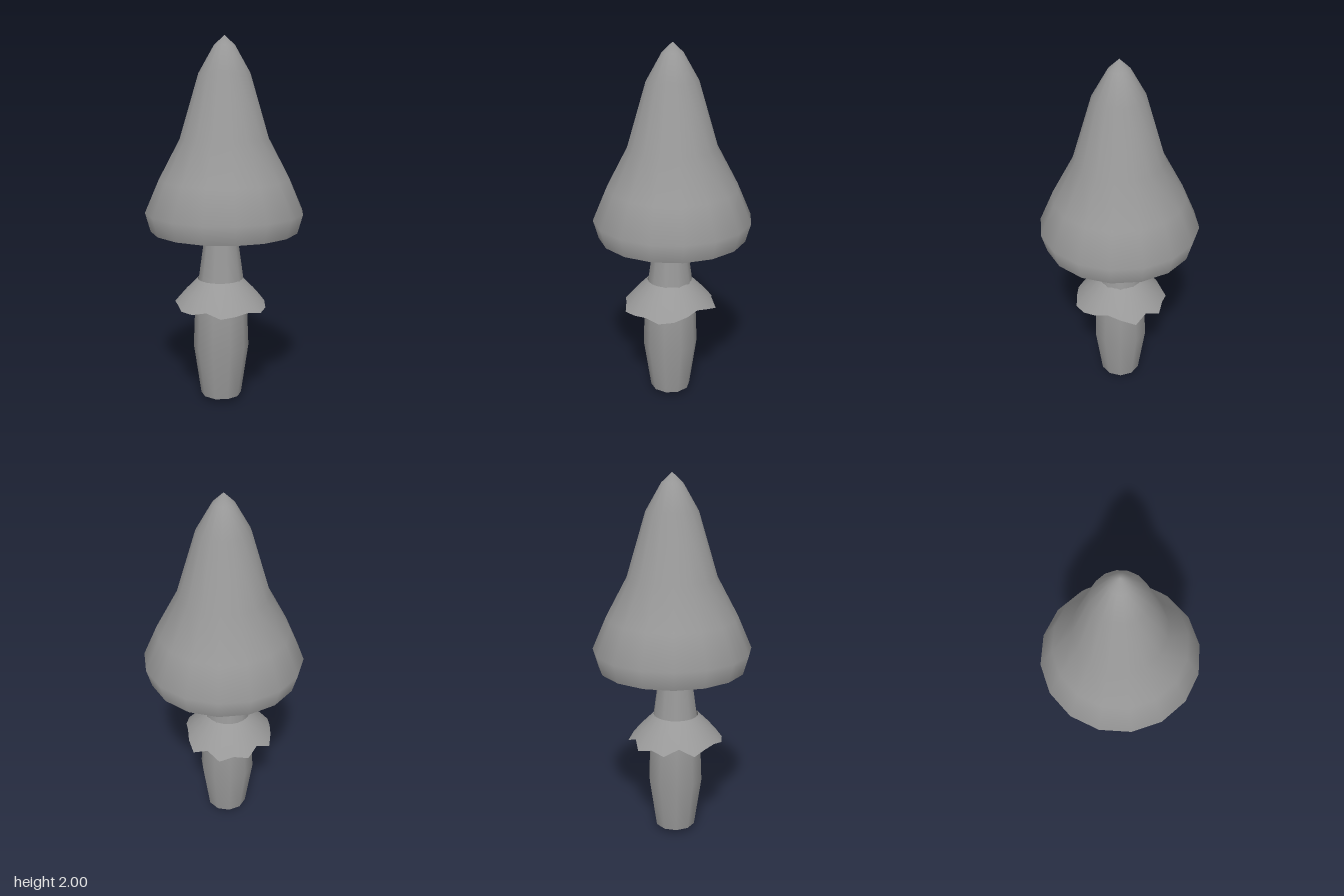
import * as THREE from 'three';

const material = new THREE.MeshStandardMaterial({ color: 0x999999 });
const thin = new THREE.MeshStandardMaterial({ color: 0x999999, side: THREE.DoubleSide });

// Surface of revolution from [radius, y] pairs, listed bottom to top
function lathe(name, profile, sides, phase = 0, mat = material) {
  const points = profile.map(([r, y]) => new THREE.Vector2(r, y));
  const mesh = new THREE.Mesh(new THREE.LatheGeometry(points, sides, phase), mat);
  mesh.name = name;
  return mesh;
}

// Tall bell-shaped cap, its normals meeting smoothly at the tip
function createCap(phase) {
  const profile = [
    [0.401, 0.967], [0.43, 1.07], [0.354, 1.247], [0.24, 1.462],
    [0.138, 1.805], [0.056, 1.948], [0, 2],
  ];
  const cap = lathe('cap', profile, 16, phase);
  const normal = cap.geometry.attributes.normal;
  for (let i = profile.length - 1; i < normal.count; i += profile.length) normal.setXYZ(i, 0, 1, 0);
  return cap;
}

// Flared ring with an irregular, toothed hem
function createSkirt() {
  const sides = 20;
  const skirt = lathe('skirt', [[0.265, 0.543], [0.195, 0.625], [0.124, 0.697]], sides, 0, thin);
  const pull = [0.1, 0.2, 0, 0.1, 0.3, 0.5, 0.3, 0, 0.4, 0, 0.25, 0.05, 0.45, 0, 0.25, 0.3, 0.1, 0.1, 0.3, 0];
  const pos = skirt.geometry.attributes.position;
  for (let i = 0; i <= sides; i++) {
    const hem = i * 3;
    const p = new THREE.Vector3().fromBufferAttribute(pos, hem);
    p.lerp(new THREE.Vector3().fromBufferAttribute(pos, hem + 1), pull[i % sides]);
    pos.setXYZ(hem, p.x, p.y, p.z);
  }
  skirt.position.x = -0.025;
  return skirt;
}

export function createModel() {
  const group = new THREE.Group();
  group.name = 'mushroom';

  // Cap with a flat underside
  const phase = Math.PI / 16;
  group.add(createCap(phase));
  group.add(lathe('capUnderside', [[0, 0.967], [0.401, 0.967]], 16, phase));

  // Bulging stem with a shallow pointed base
  const stem = new THREE.Group();
  stem.name = 'stem';
  stem.add(lathe('stalk', [
    [0.112, 0.028], [0.153, 0.31], [0.143, 0.56], [0.123, 0.695], [0.085, 0.97],
  ], 10));
  stem.add(lathe('stemBase', [[0, 0], [0.112, 0.028]], 10));
  stem.position.x = -0.02;
  group.add(stem);

  group.add(createSkirt());
  return group;
}
